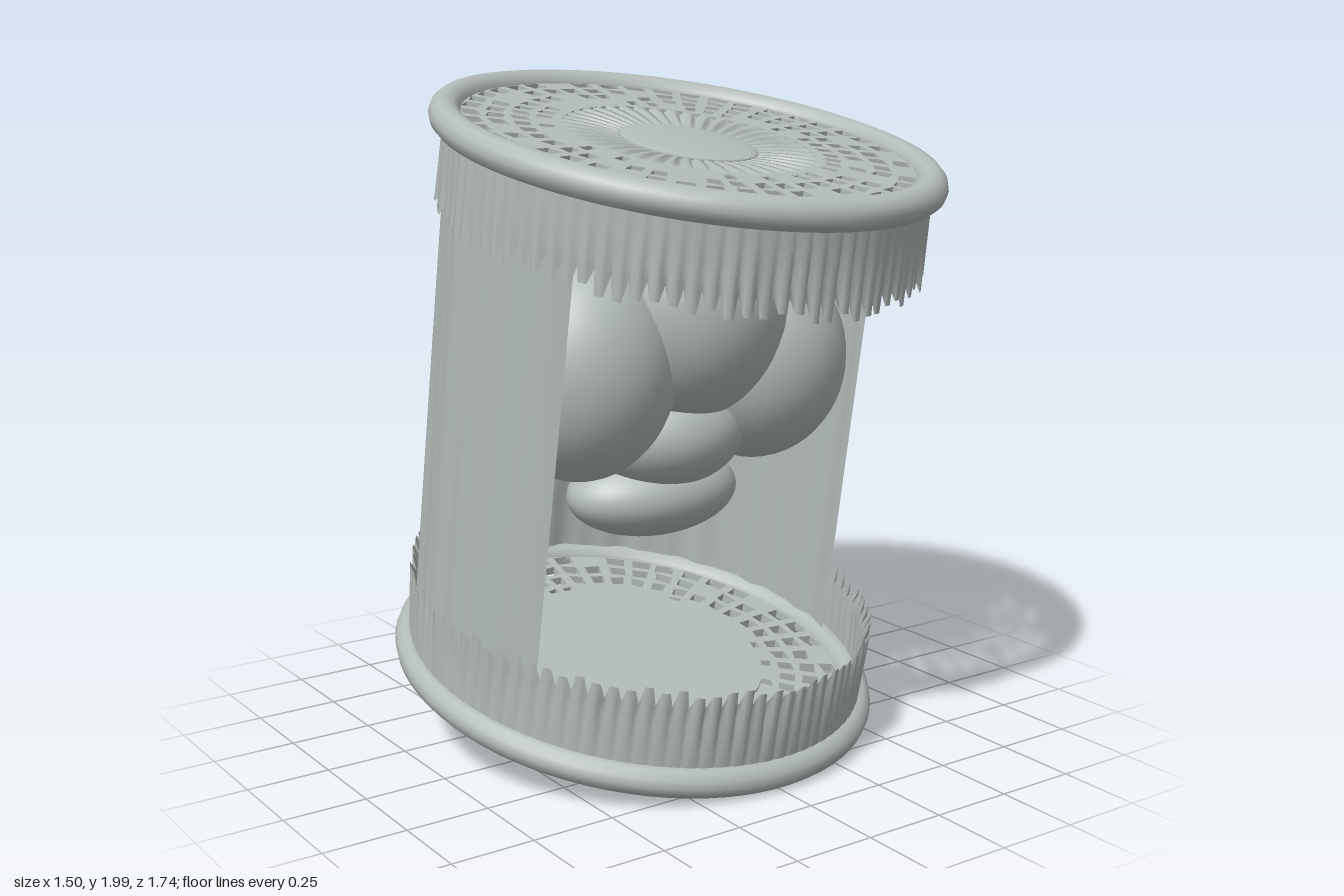
import * as THREE from 'three';

const H = 1.63; // distance between the two end discs
const TAU = Math.PI * 2;

// small seeded random
function seeded(s) {
  return () => {
    s = (s * 16807) % 2147483647;
    return s / 2147483647;
  };
}

// leaning, slightly sheared frame of the basket
const lean = new THREE.Matrix4().makeBasis(
  new THREE.Vector3(1, -0.03, 0),
  new THREE.Vector3(0.021, 0.987, 0.147),
  new THREE.Vector3(0, -0.212, 1.025)
).setPosition(-0.015, 0.19, -0.115);

// grid surface from a rule f(u, v) -> [x, y, z]
function sheet(nu, nv, f) {
  const pos = [], idx = [];
  for (let i = 0; i <= nu; i++) {
    for (let j = 0; j <= nv; j++) {
      pos.push(...f(i / nu, j / nv, i, j));
      if (i < nu && j < nv) {
        const a = i * (nv + 1) + j, b = a + nv + 1;
        idx.push(a, a + 1, b, b, a + 1, b + 1);
      }
    }
  }
  const g = new THREE.BufferGeometry();
  g.setAttribute('position', new THREE.Float32BufferAttribute(pos, 3));
  g.setIndex(idx);
  g.computeVertexNormals();
  return g;
}

// wrap-around wall, open at the front
function wallGeometry() {
  const a0 = THREE.MathUtils.degToRad(150), a1 = THREE.MathUtils.degToRad(370);
  return sheet(120, 8, (u, v) => {
    const a = a0 + (a1 - a0) * u;
    const r = 0.676 + 0.004 * Math.sin(a * 23 + v * 1.5) + 0.003 * Math.sin(a * 41 - v * 2);
    return [r * Math.cos(a), v * H, r * Math.sin(a)];
  });
}

// gathered skirt with a fringed free edge; dir is +1 upwards, -1 downwards
function skirtGeometry(y0, dir, seed) {
  const rnd = seeded(seed), teeth = 92, per = 4;
  const tip = Array.from({ length: teeth }, () => rnd());
  const puff = Array.from({ length: teeth }, () => rnd());
  return sheet(teeth * per, 4, (u, v, i) => {
    const k = Math.floor(i / per) % teeth, a = u * TAU;
    const gap = i % per === 0;
    const front = 0.5 + 0.5 * Math.sin(a);
    const len = 0.2 + 0.03 * front + (gap ? -0.035 : 0.03 * tip[k]);
    const r = 0.693 + v * (gap ? -0.012 : 0.012 * puff[k]);
    return [r * Math.cos(a), y0 + dir * v * len, r * Math.sin(a)];
  });
}

// woven disc with rows of openings
function webGeometry(seed) {
  const rnd = seeded(seed), spokes = 44, rows = 4;
  const shape = new THREE.Shape().absarc(0, 0, 0.69, 0, TAU, false);
  shape.holes.push(new THREE.Path().absarc(0, 0, 0.36, 0, TAU, true));
  for (let row = 0; row < rows; row++) {
    const r0 = 0.385 + row * 0.07, r1 = r0 + 0.047;
    for (let k = 0; k < spokes; k++) {
      if (rnd() < (row === 0 ? 0.5 : 0.12)) continue;
      const a = (k + 0.5) / spokes * TAU + (rnd() - 0.5) * 0.02;
      const j = (rnd() - 0.5) * 0.012;
      const corner = (r, s) => {
        const half = Math.PI / spokes - 0.014 / r;
        return new THREE.Vector2(r * Math.cos(a + s * half), r * Math.sin(a + s * half));
      };
      shape.holes.push(new THREE.Path([
        corner(r0 - j, -1), corner(r0 + j, 1), corner(r1 + j, 1), corner(r1 - j, -1)
      ]));
    }
  }
  const g = new THREE.ExtrudeGeometry(shape, { depth: 0.026, bevelEnabled: false, curveSegments: 64 });
  return g.translate(0, 0, -0.013).rotateX(-Math.PI / 2);
}

// pleats running from the hub out to the weave
function pleatGeometry(side) {
  return sheet(176, 5, (u, v, i) => {
    const a = u * TAU, r = 0.17 + v * 0.22;
    const ridge = (i % 4 === 0 ? -0.02 : 0.006) * Math.sin(Math.PI * v);
    return [r * Math.cos(a), side * (0.012 + ridge - 0.015 * (1 - v)), r * Math.sin(a)];
  });
}

export function createModel() {
  const model = new THREE.Group();
  model.name = 'leaningBasket';
  const clay = new THREE.MeshStandardMaterial({ color: 0xb3bcb9, side: THREE.DoubleSide });
  clay.name = 'greyClay';

  function add(name, geometry, parent = model) {
    const mesh = new THREE.Mesh(geometry, clay);
    mesh.name = name;
    parent.add(mesh);
    return mesh;
  }
  const addLeaning = (name, g, parent) => add(name, g.applyMatrix4(lean), parent);

  addLeaning('wall', wallGeometry());

  // matching ends: rim, weave, pleats, hub and fringed skirt
  for (const [name, y, side] of [['bottom', 0, -1], ['top', H, 1]]) {
    const end = new THREE.Group();
    end.name = name + 'End';
    model.add(end);
    const rim = new THREE.TorusGeometry(0.688, 0.046, 12, 80).rotateX(Math.PI / 2);
    addLeaning(name + 'Rim', rim.translate(0, y, 0), end);
    addLeaning(name + 'Weave', webGeometry(31 + side * 7).translate(0, y, 0), end);
    addLeaning(name + 'Pleats', pleatGeometry(side).translate(0, y, 0), end);
    const hub = new THREE.SphereGeometry(0.2, 32, 12).scale(1, 0.08, 1);
    addLeaning(name + 'Hub', hub.translate(0, y, 0), end);
    addLeaning(name + 'Skirt', skirtGeometry(y - side * 0.03, -side, 91 + side * 40), end);
  }

  // smooth floor inside the bottom weave
  const floor = new THREE.CylinderGeometry(0.4, 0.4, 0.008, 48).translate(0, 0.017, 0);
  addLeaning('floorPad', floor);

  // cluster of soft lobes: name, centre, radii
  const lobes = [
    ['centreLobe', [0.04, 1.33, 0.07], [0.31, 0.35, 0.31]],
    ['rightLobe', [-0.3, 1.17, 0.03], [0.29, 0.34, 0.29]],
    ['leftLobe', [0.33, 1.14, 0.03], [0.29, 0.32, 0.29]],
    ['lowerLobe', [0, 0.745, -0.03], [0.285, 0.135, 0.19]],
    ['neckLobe', [0.01, 0.94, 0.02], [0.25, 0.17, 0.22]]
  ];
  const cluster = new THREE.Group();
  cluster.name = 'lobeCluster';
  model.add(cluster);
  for (const [name, centre, radii] of lobes) {
    const g = new THREE.SphereGeometry(1, 40, 28).scale(...radii).translate(...centre);
    add(name, g, cluster);
  }
  return model;
}
